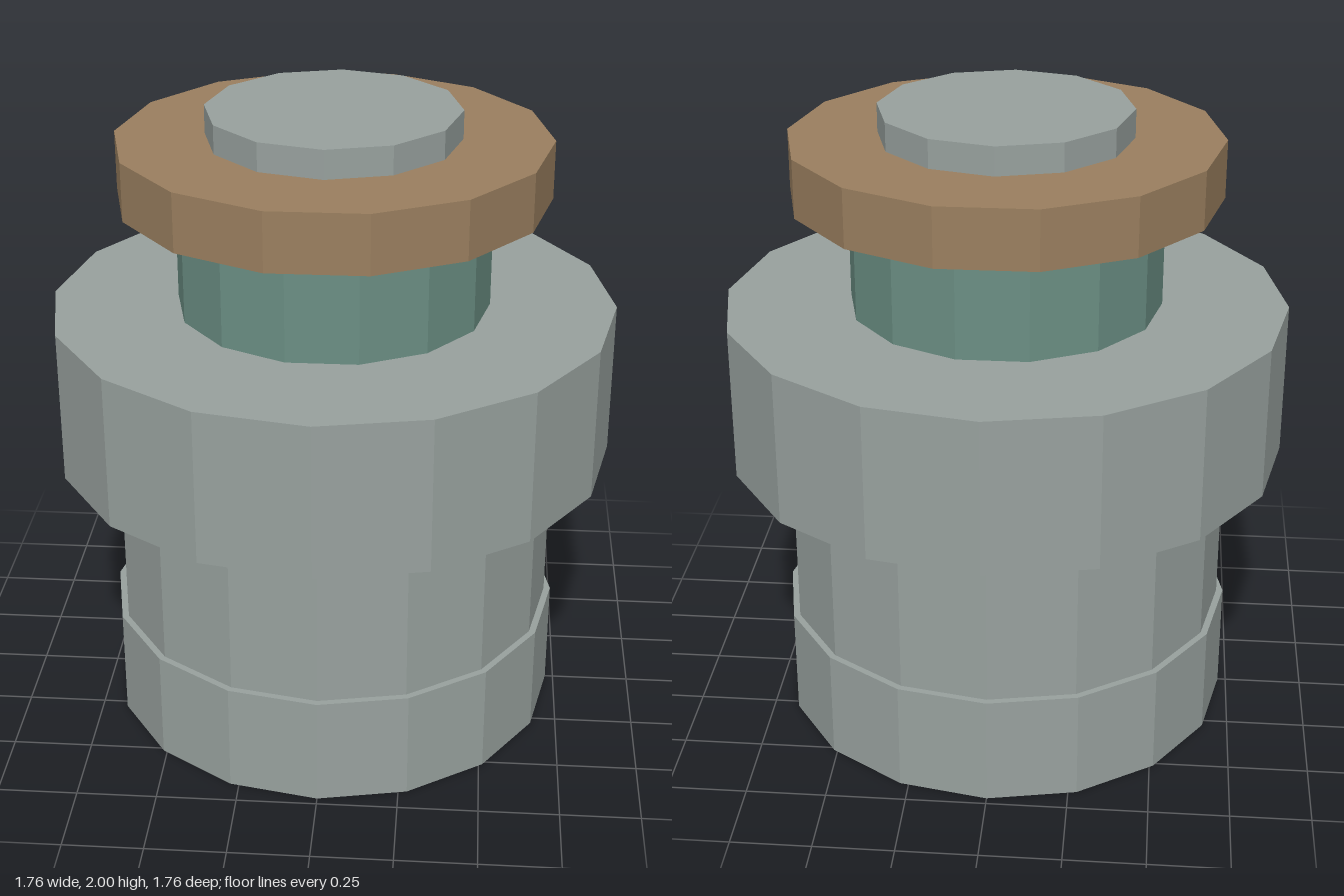
import * as THREE from 'three';

export function createModel() {
  const model = new THREE.Group();
  model.name = 'turnedFitting';

  const material = (name, color) => {
    const m = new THREE.MeshStandardMaterial({ color, flatShading: true });
    m.name = name;
    return m;
  };
  const grey = material('steel grey', 0x98a19e);
  const teal = material('muted teal', 0x6b8f84);
  const bronze = material('bronze brown', 0x9a7f5f);

  // Stacked prisms: name, radius, bottom, top, sides, material
  const parts = [
    ['base', 0.724, 0, 0.352, 16, grey],
    ['body', 0.703, 0.352, 0.892, 16, grey],
    ['collar', 0.88, 0.892, 1.378, 16, grey],
    ['neck', 0.488, 1.378, 1.729, 14, teal],
    ['flange', 0.666, 1.729, 1.911, 14, bronze],
    ['cap', 0.39, 1.911, 2, 12, grey],
  ];

  for (const [name, radius, bottom, top, sides, mat] of parts) {
    const geometry = new THREE.CylinderGeometry(radius, radius, top - bottom, sides);
    geometry.rotateY(Math.PI / 2); // a corner points along x
    geometry.translate(0, (bottom + top) / 2, 0);
    const mesh = new THREE.Mesh(geometry, mat);
    mesh.name = name;
    model.add(mesh);
  }
  return model;
}
